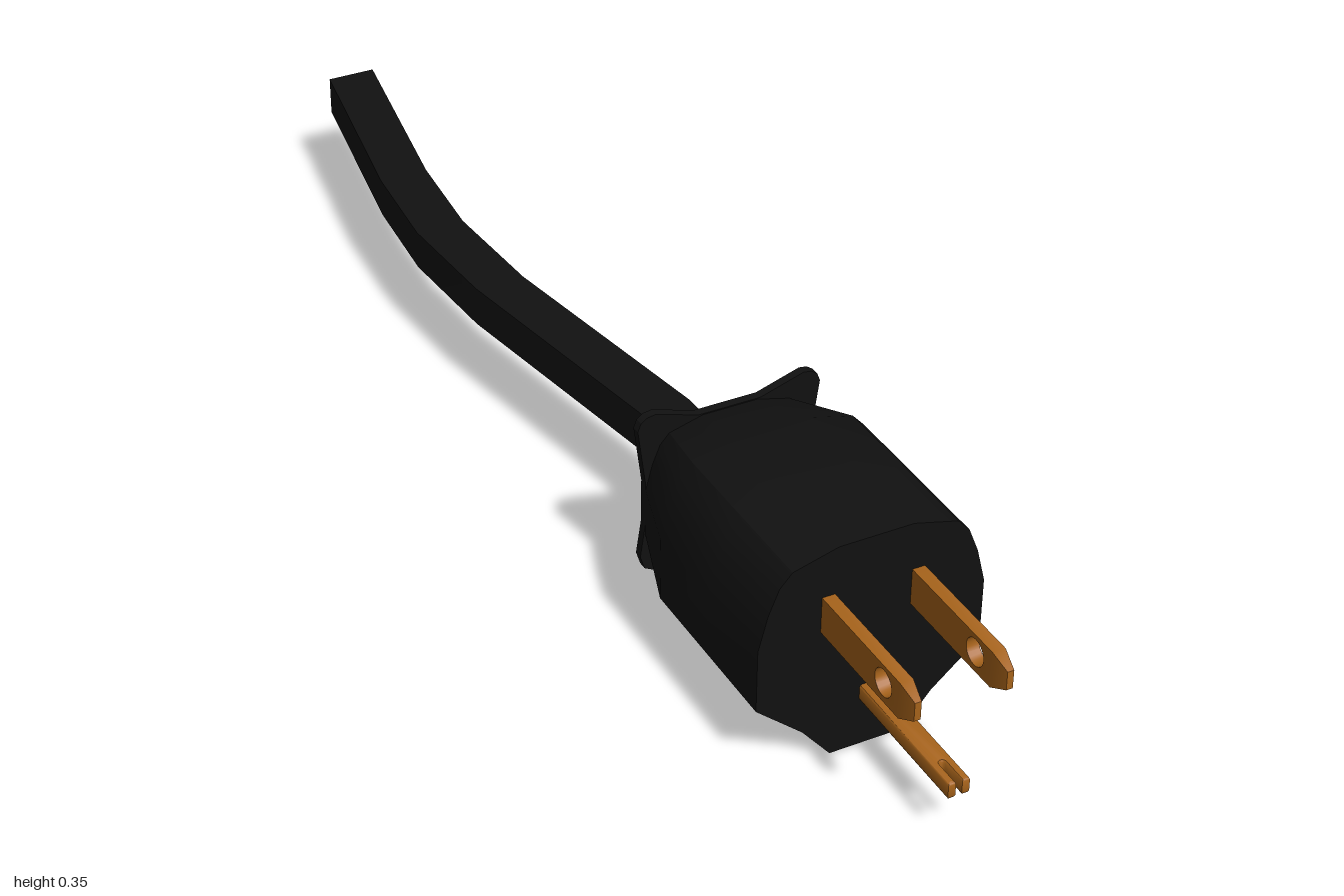
import * as THREE from 'three';
import { toCreasedNormals } from 'three/addons/utils/BufferGeometryUtils.js';

const black = new THREE.MeshStandardMaterial({ color: 0x111111 });
const brass = new THREE.MeshStandardMaterial({ color: 0xa5621a });

// Closed shape from its right half (top to bottom), mirrored in x
function mirroredShape(half) {
  const left = half.map(([x, y]) => [-x, y]).reverse();
  return new THREE.Shape([...half, ...left].map(([x, y]) => new THREE.Vector2(x, y)));
}

// Move every vertex by a rule
function warp(geometry, rule) {
  const p = geometry.attributes.position;
  const v = new THREE.Vector3();
  for (let i = 0; i < p.count; i++) {
    rule(v.fromBufferAttribute(p, i));
    p.setXYZ(i, v.x, v.y, v.z);
  }
  return geometry;
}

function part(name, geometry, material, crease = 0.5) {
  const mesh = new THREE.Mesh(toCreasedNormals(geometry, crease), material);
  mesh.name = name;
  return mesh;
}

// Plug body: straight front, tapering towards the cable
function makeBody() {
  const shape = mirroredShape([
    [0.058, 0.355], [0.128, 0.336], [0.147, 0.315], [0.163, 0.275], [0.177, 0.22],
    [0.177, 0.118], [0.103, 0.054], [0.058, 0],
  ]);
  const g = new THREE.ExtrudeGeometry(shape, { depth: 0.42, steps: 3, bevelEnabled: false });
  warp(g, (v) => {
    if (v.z < 0.01) {
      v.x *= 0.74;
      v.y = 0.178 + (v.y - 0.178) * 0.74;
    }
    v.z += 0.35;
  });
  return part('plugBody', g, black);
}

// Thin rear plate with four small ears
function makeFlange() {
  const shape = mirroredShape([
    [0.05, 0.315], [0.12, 0.337], [0.133, 0.335], [0.143, 0.328], [0.148, 0.315],
    [0.135, 0.22], [0.135, 0.15], [0.143, 0.093], [0.136, 0.071], [0.085, 0.044], [0.05, 0.03],
  ]);
  const g = new THREE.ExtrudeGeometry(shape, { depth: 0.014, bevelEnabled: false });
  return part('rearFlange', g.translate(0, 0, 0.349), black);
}

// Flat blade with chamfered tip and a round hole
function makeBlade(name, x) {
  const shape = new THREE.Shape([
    [0.7, 0.22], [0.97, 0.22], [1, 0.235], [1, 0.265], [0.97, 0.278], [0.7, 0.278],
  ].map(([z, y]) => new THREE.Vector2(z, y)));
  const hole = new THREE.Path();
  hole.absarc(0.93, 0.25, 0.021, 0, Math.PI * 2, true);
  shape.holes.push(hole);
  const g = new THREE.ExtrudeGeometry(shape, { depth: 0.02, bevelEnabled: false, curveSegments: 10 });
  g.translate(0, 0, -0.01).rotateY(-Math.PI / 2);
  warp(g, (v) => {
    if (v.z > 0.98) v.x *= 0.5;
    v.x += x;
  });
  return part(name, g, brass);
}

// Ground pin: bevelled bar with a forked tip
function makeGroundPin() {
  const w = 0.0125;
  const shape = new THREE.Shape();
  shape.moveTo(-w, 0.7);
  shape.lineTo(w, 0.7);
  shape.lineTo(w, 0.996);
  shape.lineTo(0.009, 0.996);
  shape.lineTo(0.009, 0.958);
  shape.absarc(0, 0.958, 0.009, 0, Math.PI, true);
  shape.lineTo(-0.009, 0.996);
  shape.lineTo(-w, 0.996);
  const g = new THREE.ExtrudeGeometry(shape, {
    depth: 0.019, bevelSize: 0.004, bevelThickness: 0.004, bevelSegments: 2, curveSegments: 6,
  });
  g.rotateX(Math.PI / 2).scale(1, 1, 1).translate(0.002, 0.101, 0);
  return part('groundPin', g, brass, 0.8);
}

// Cable: rectangular section following a gentle sideways curve
function makeCable() {
  const path = [[-0.02, -1], [-0.08, -0.63], [-0.094, -0.45], [-0.08, -0.25], [-0.007, 0.18], [-0.004, 0.4]];
  const n = path.length - 1;
  const g = new THREE.BoxGeometry(0.082, 0.066, n, 1, 1, n);
  warp(g, (v) => {
    const [x, z] = path[Math.round(v.z + n / 2)];
    v.x += x;
    v.y += 0.171;
    v.z = z;
  });
  return part('cable', g, black, 0.1);
}

export function createModel() {
  const model = new THREE.Group();
  model.name = 'powerPlug';
  model.add(
    makeBody(),
    makeFlange(),
    makeBlade('leftBlade', 0.069),
    makeBlade('rightBlade', -0.071),
    makeGroundPin(),
    makeCable(),
  );
  return model;
}
